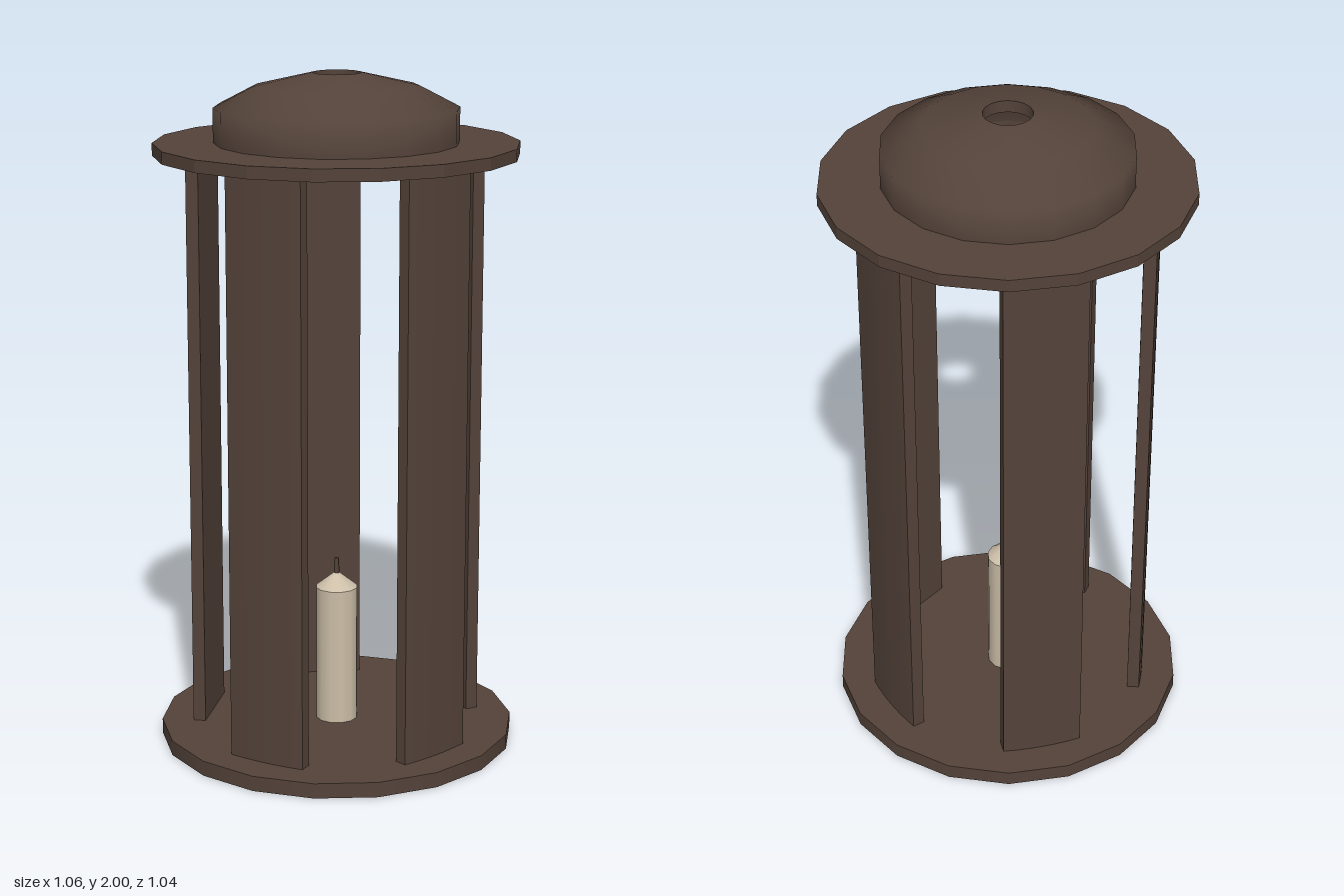
import * as THREE from 'three';

export function createModel() {
  const wood = new THREE.MeshStandardMaterial({ color: 0x54433a });
  wood.name = 'dark brown wood';
  const wax = new THREE.MeshStandardMaterial({ color: 0xcdbfa8 });
  wax.name = 'cream wax';

  const lantern = new THREE.Group();
  lantern.name = 'lantern';
  const add = (name, geometry, material, y = 0, parent = lantern) => {
    const mesh = new THREE.Mesh(geometry, material);
    mesh.name = name;
    mesh.position.y = y;
    parent.add(mesh);
    return mesh;
  };
  const lathe = (points, sides) => {
    const g = new THREE.LatheGeometry(points.map(([r, y]) => new THREE.Vector2(r, y)), sides);
    return g.rotateY(Math.PI / 2);
  };

  // Solid 18-sided base plate
  const SIDES = 18, PLATE_R = 0.53;
  add('basePlate', new THREE.CylinderGeometry(PLATE_R, PLATE_R, 0.045, SIDES).rotateY(Math.PI / 2), wood, 0.0225);

  // Top plate: a ring that opens into the hollow cap
  const ring = new THREE.Shape();
  const opening = new THREE.Path();
  for (let i = 0; i < SIDES; i++) {
    const a = (i / SIDES) * Math.PI * 2;
    const [c, s] = [Math.cos(a), Math.sin(a)];
    const move = i ? 'lineTo' : 'moveTo';
    ring[move](PLATE_R * c, PLATE_R * s);
    opening[move](0.32 * c, 0.32 * s);
  }
  ring.closePath();
  opening.closePath();
  ring.holes.push(opening);
  const ringGeometry = new THREE.ExtrudeGeometry(ring, { depth: 0.036, bevelEnabled: false });
  add('topPlate', ringGeometry.rotateX(-Math.PI / 2), wood, 1.765);

  // Domed cap with a vent hole: outer skin, hole wall and inner skin
  const cap = new THREE.Group();
  cap.name = 'cap';
  lantern.add(cap);
  add('capOutside', lathe([[0.355, 1.8], [0.355, 1.9], [0.24, 1.96], [0.07, 2]], SIDES), wood, 0, cap);
  add('ventWall', lathe([[0.07, 2], [0.07, 1.965]], SIDES), wood, 0, cap);
  add('capInside', lathe([[0.07, 1.965], [0.22, 1.93], [0.32, 1.88], [0.32, 1.765]], SIDES), wood, 0, cap);

  // Five upright slats with a gently crowned outer face
  const crown = new THREE.Shape();
  crown.moveTo(-0.12, -0.382);
  crown.lineTo(-0.12, -0.419);
  crown.quadraticCurveTo(0, -0.436, 0.12, -0.419);
  crown.lineTo(0.12, -0.382);
  crown.closePath();
  const slatGeometry = new THREE.ExtrudeGeometry(crown, {
    depth: 1.74, bevelEnabled: false, curveSegments: 8,
  }).rotateX(-Math.PI / 2);
  for (let i = 0; i < 5; i++) {
    add('slat' + (i + 1), slatGeometry, wood, 0.035).rotation.y = (i / 5) * Math.PI * 2;
  }

  // Candle with a pointed top and a short wick
  const candle = new THREE.Group();
  candle.name = 'candle';
  lantern.add(candle);
  add('candleBody', new THREE.CylinderGeometry(0.063, 0.063, 0.42, 12, 1, true), wax, 0.25, candle);
  add('candleTop', new THREE.ConeGeometry(0.063, 0.05, 12, 1, true), wax, 0.485, candle);
  add('wick', new THREE.CylinderGeometry(0.006, 0.01, 0.06, 6), wood, 0.52, candle);

  return lantern;
}
